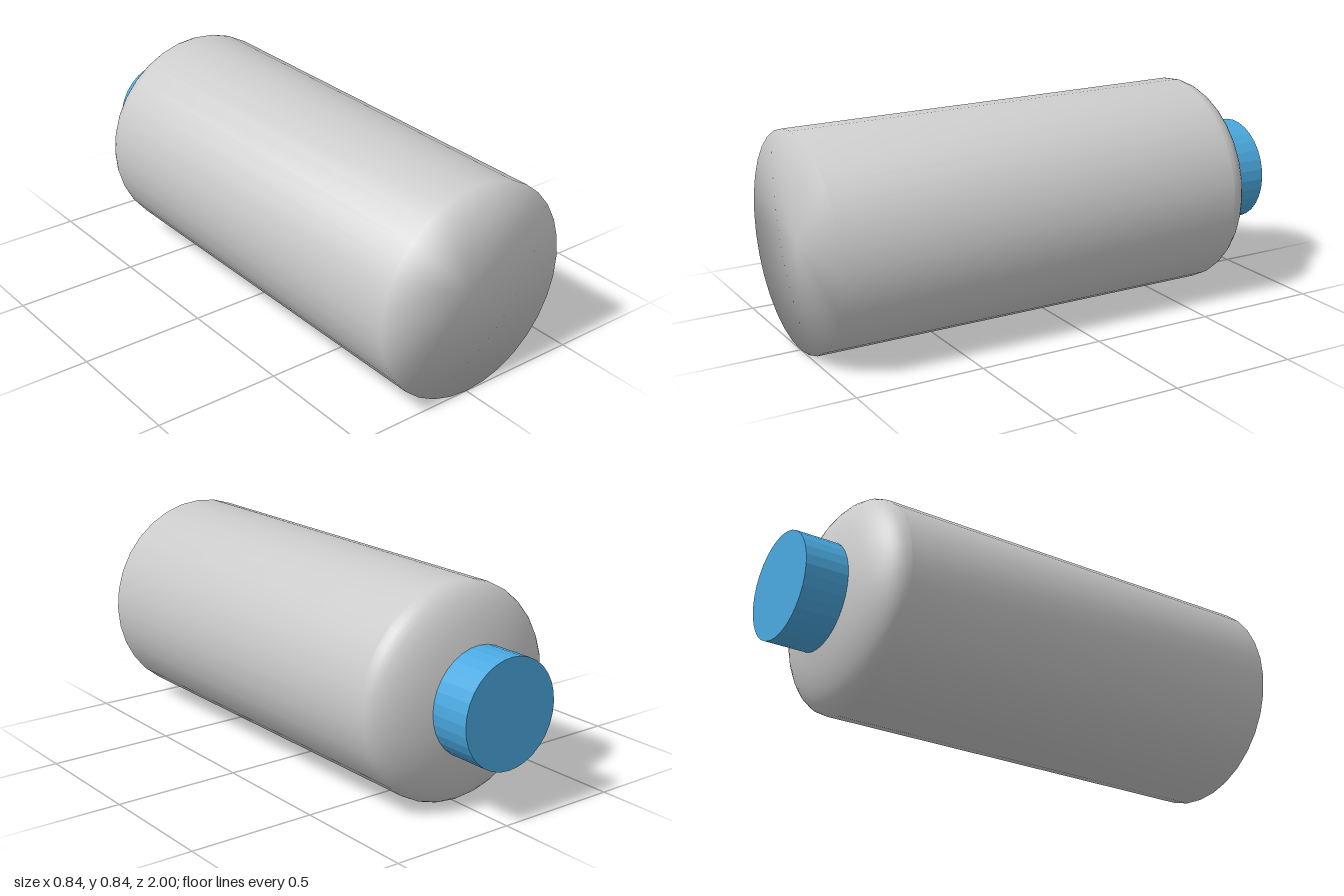
import * as THREE from 'three';

const SIDES = 32;
const R = 0.42; // body radius
const CAP_R = 0.21; // cap radius
const SHOULDER = 0.69; // distance from the middle to the shoulder seam
const CAP_START = 0.83;

export function createModel() {
  const model = new THREE.Group();
  model.name = 'bottle';
  const grey = new THREE.MeshStandardMaterial({ color: 0xcccccc });
  const blue = new THREE.MeshStandardMaterial({ color: 0x4aa9e0, flatShading: true });

  // Parts are made along +y, then laid down so the cap points to the back
  const add = (name, geometry, material) => {
    geometry.rotateX(-Math.PI / 2).translate(0, R, 0);
    const mesh = new THREE.Mesh(geometry, material);
    mesh.name = name;
    model.add(mesh);
  };
  const lathe = (points) =>
    new THREE.LatheGeometry(points.map(([r, y]) => new THREE.Vector2(r, y)), SIDES);

  // Body: flat base shaded smoothly into the straight wall
  add('body', lathe([[0, -1], [R, -1], [R, SHOULDER]]), grey);

  // Shoulder: squashed dome that narrows to the cap
  const dome = [];
  for (let i = 0; i <= 10; i++) {
    const a = (i / 10) * (Math.PI / 3);
    dome.push([R * Math.cos(a), SHOULDER + 0.162 * Math.sin(a)]);
  }
  add('shoulder', lathe(dome), grey);

  // Cap: faceted plug with a flat end
  const cap = new THREE.CylinderGeometry(CAP_R, CAP_R, 1 - CAP_START, SIDES);
  cap.translate(0, (1 + CAP_START) / 2, 0);
  add('cap', cap, blue);

  return model;
}
